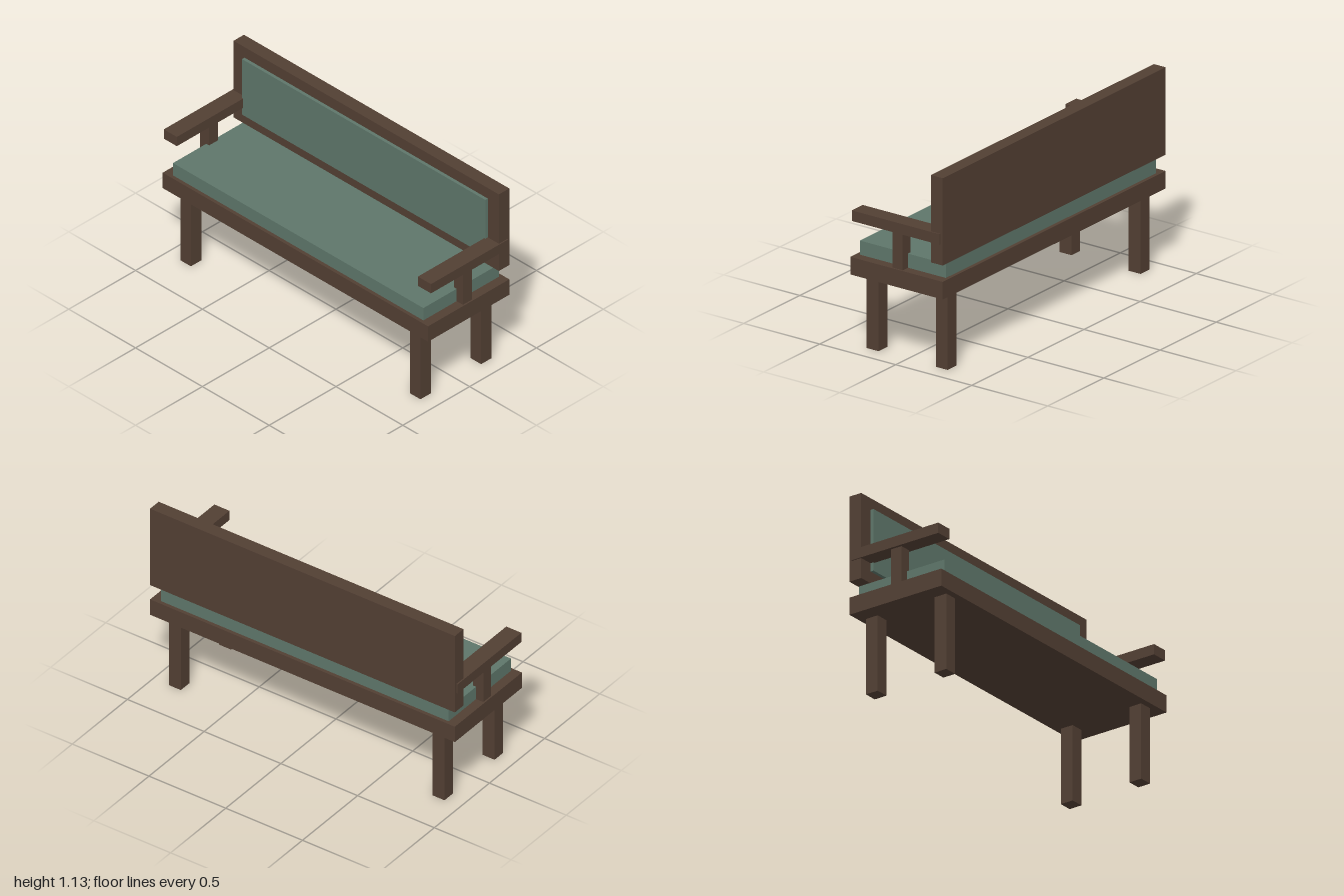
import * as THREE from 'three';

export function createModel() {
  const group = new THREE.Group();
  const wood = new THREE.MeshStandardMaterial({ color: 0x523f33 });
  const fabric = new THREE.MeshStandardMaterial({ color: 0x5e766a });

  // Box given by its min/max extents on each axis
  function box(name, material, [x0, x1], [y0, y1], [z0, z1]) {
    const mesh = new THREE.Mesh(new THREE.BoxGeometry(x1 - x0, y1 - y0, z1 - z0), material);
    mesh.position.set((x0 + x1) / 2, (y0 + y1) / 2, (z0 + z1) / 2);
    mesh.name = name;
    group.add(mesh);
  }

  // Seat
  box('seatFrame', wood, [-0.993, 0.993], [0.44, 0.54], [-0.304, 0.304]);
  box('seatCushion', fabric, [-0.937, 0.937], [0.54, 0.62], [-0.283, 0.283]);

  // Backrest, floating above the seat and held by the armrests
  box('backPanel', wood, [-0.993, 0.993], [0.633, 1.13], [-0.304, -0.226]);
  box('backCushion', fabric, [-0.91, 0.91], [0.702, 1.062], [-0.226, -0.207]);

  // Mirrored armrests, posts and legs
  for (const [side, s] of [['left', 1], ['right', -1]]) {
    const span = (a, b) => (s > 0 ? [a, b] : [-b, -a]);
    box(side + 'Armrest', wood, span(0.902, 1), [0.75, 0.81], [-0.289, 0.289]);
    box(side + 'ArmPost', wood, span(0.916, 0.984), [0.54, 0.75], [-0.034, 0.034]);
    box(side + 'FrontLeg', wood, span(0.82, 0.898), [0, 0.44], [0.188, 0.266]);
    box(side + 'BackLeg', wood, span(0.82, 0.898), [0, 0.44], [-0.266, -0.188]);
  }
  return group;
}
